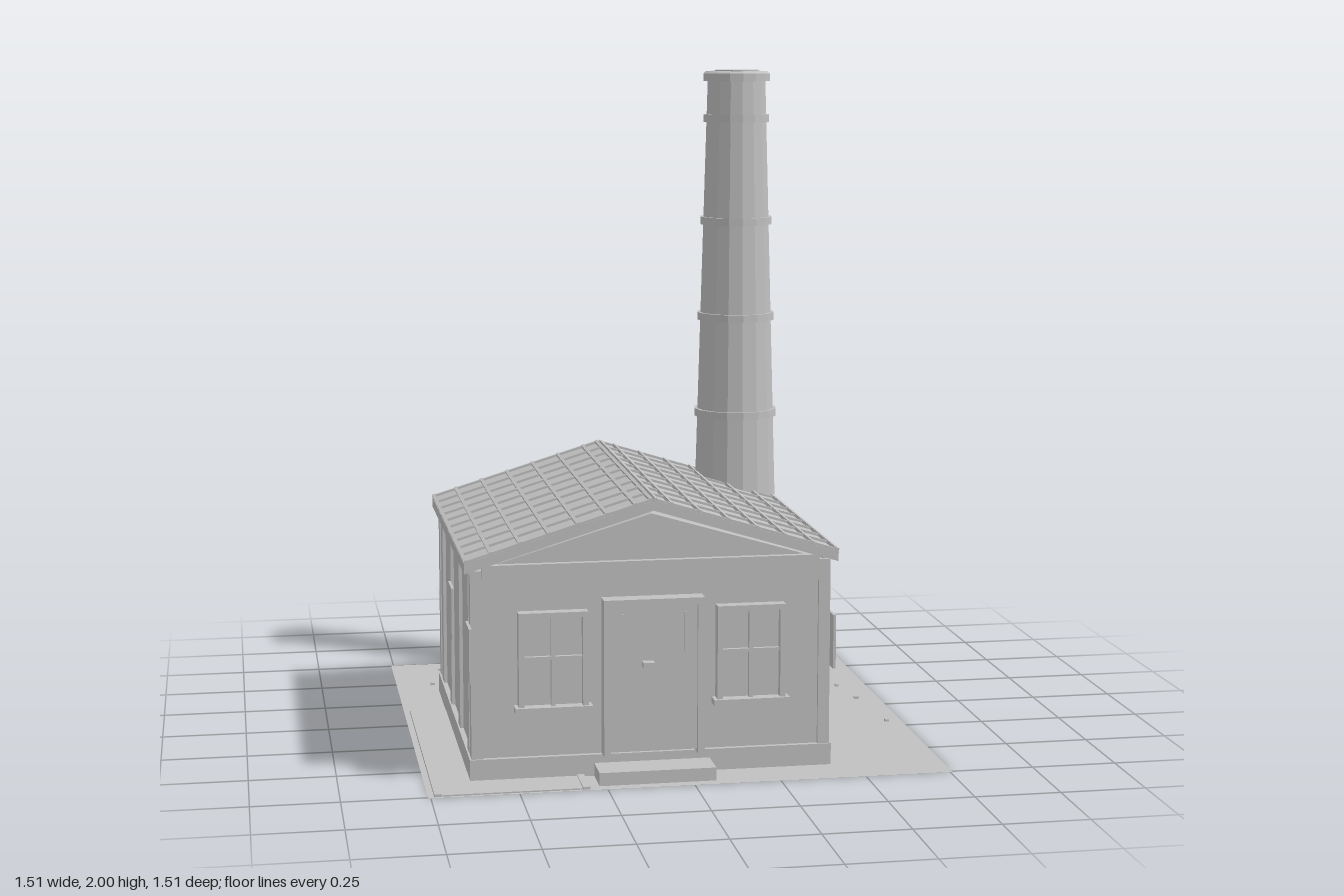
import * as THREE from 'three';

const CX = -0.1;                       // house centre line
const Z0 = -0.385, Z1 = 0.612;         // back and front walls
const ROOF = { half: 0.54, z0: -0.41, z1: 0.645, ridge: 0.803, drop: 0.165, thick: 0.029 };
const STACK = { x: 0.33, z: -0.307, sides: 16 };

export function createModel() {
  const root = new THREE.Group();
  root.name = 'boilerHouse';
  const grey = new THREE.MeshStandardMaterial({ color: 0xc0c0c0, flatShading: true, side: THREE.DoubleSide });
  grey.name = 'stoneGrey';

  const add = (name, geometry, parent = root) => {
    const mesh = new THREE.Mesh(geometry, grey);
    mesh.name = name;
    parent.add(mesh);
    return mesh;
  };
  // Box given by its extents on each axis
  const box = (name, x0, x1, y0, y1, z0, z1, parent = root) => {
    const mesh = add(name, new THREE.BoxGeometry(x1 - x0, y1 - y0, z1 - z0), parent);
    mesh.position.set((x0 + x1) / 2, (y0 + y1) / 2, (z0 + z1) / 2);
    return mesh;
  };
  const group = (name) => {
    const g = new THREE.Group();
    g.name = name;
    root.add(g);
    return g;
  };
  // Outline in x and y, extruded from z0 to z1
  const slab = (name, points, z0, z1, parent = root) => {
    const shape = new THREE.Shape(points.map(([x, y]) => new THREE.Vector2(x, y)));
    const mesh = add(name, new THREE.ExtrudeGeometry(shape, { depth: z1 - z0, bevelEnabled: false }), parent);
    mesh.position.z = z0;
    return mesh;
  };

  // Ground sheet, side path with kerbs, and pebbles
  add('ground', new THREE.PlaneGeometry(1.515, 1.515)).rotation.x = -Math.PI / 2;
  box('path', -0.72, -0.32, 0.001, 0.005, -0.14, 0.75);
  box('kerb', -0.74, -0.72, 0.001, 0.009, -0.14, 0.752);
  box('kerb', -0.32, -0.3, 0.001, 0.009, 0.62, 0.752);
  const pebbles = group('pebbles');
  [[-0.6, -0.66], [-0.53, -0.7], [-0.36, -0.65], [-0.585, -0.565], [-0.385, -0.6], [-0.64, -0.48],
    [-0.46, -0.49], [-0.12, -0.54], [0.14, -0.64], [0.175, -0.62], [0.245, -0.67], [0.58, -0.33],
    [0.66, -0.24], [0.58, -0.05], [0.685, -0.08], [0.5, 0.09], [0.71, 0.2]].forEach(([x, z], i) => {
    const r = 0.005 + (i % 3) * 0.001;
    box('pebble', x - r, x + r, 0.001, 0.008, z - r, z + r, pebbles);
  });

  // Walls, plinth and the beams under each gable
  box('walls', CX - 0.512, CX + 0.512, 0.002, 0.61, Z0, Z1);
  box('plinth', CX - 0.527, CX + 0.527, 0.002, 0.065, Z0 - 0.012, Z1 + 0.015);
  box('frontBeam', CX - 0.488, CX + 0.488, 0.555, 0.628, Z1 - 0.01, Z1 + 0.02);
  box('backBeam', CX - 0.488, CX + 0.488, 0.555, 0.628, Z0 - 0.012, Z0 + 0.01);

  for (const s of [-1, 1]) {
    const side = group(s < 0 ? 'rightSide' : 'leftSide');
    const strip = (name, d0, d1, y0, y1, z0, z1) =>
      box(name, Math.min(CX + s * d0, CX + s * d1), Math.max(CX + s * d0, CX + s * d1), y0, y1, z0, z1, side);
    // Corner posts and wall strips
    strip('frontPost', 0.488, 0.522, 0.065, 0.612, Z1 - 0.03, Z1 + 0.01);
    strip('backPost', 0.488, 0.522, 0.065, 0.612, Z0 - 0.008, Z0 + 0.03);
    for (let i = 0; i < 4; i++) {
      const z = 0.528 - i * 0.27;
      strip('wallStrip', 0.5, 0.522, 0.065, 0.61, z - 0.028, z + 0.028);
    }
    strip('eavePlate', 0.5, 0.524, 0.6, 0.618, Z0, Z1);
    // Thin side shutters
    for (const z of [0.07, 0.61]) strip('shutter', 0.522, 0.53, 0.297, 0.455, z - 0.053, z + 0.053);
  }

  // Gable walls, set a little below the roof
  const gable = [[CX - 0.46, 0.61], [CX + 0.46, 0.61], [CX + 0.44, 0.63], [CX, 0.76], [CX - 0.44, 0.63]];
  slab('frontGable', gable, Z1 - 0.03, Z1);
  slab('backGable', gable, Z0, Z0 + 0.03);

  // Roof shell with a grid of ribs on each slope
  const { half, ridge, drop, thick } = ROOF;
  const eave = ridge - drop;
  slab('roofShell', [[CX - half, eave - thick], [CX, ridge - thick], [CX + half, eave - thick],
    [CX + half, eave], [CX, ridge], [CX - half, eave]], ROOF.z0, ROOF.z1);
  const angle = Math.atan2(drop, half), length = Math.hypot(half, drop);
  const zMid = (ROOF.z0 + ROOF.z1) / 2, depth = ROOF.z1 - ROOF.z0;
  for (const s of [-1, 1]) {
    const slope = group('roofRibs');
    slope.position.set(CX, ridge, zMid);
    slope.rotation.z = -s * angle;
    for (const d of [0.006, 0.05, 0.132, 0.215, 0.298, 0.38, 0.463, 0.534]) {
      const x = s * d / Math.cos(angle);
      box('longRib', x - 0.005, x + 0.005, -0.002, 0.009, -depth / 2, depth / 2, slope);
    }
    for (let i = 0; i <= 10; i++) {
      const z = (i / 10 - 0.5) * (depth - 0.012);
      box('slopeRib', s < 0 ? -length : 0, s < 0 ? 0 : length, -0.002, 0.007, z - 0.005, z + 0.005, slope);
    }
  }

  // Doorway: frame, leaf, slits, handle and step
  const door = group('door');
  const frame = (name, x0, x1, y0, y1, t, z0, z1, parent) => {
    box(name, x0, x0 + t, y0, y1, z0, z1, parent);
    box(name, x1 - t, x1, y0, y1, z0, z1, parent);
    box(name, x0 + t, x1 - t, y1 - t, y1, z0, z1, parent);
  };
  frame('doorFrame', CX - 0.146, CX + 0.146, 0.065, 0.522, 0.02, Z1 - 0.01, Z1 + 0.05, door);
  box('doorLeaf', CX - 0.127, CX + 0.127, 0.075, 0.503, Z1 - 0.01, Z1 + 0.038, door);
  for (const s of [-1, 1]) {
    box('doorStrip', CX + s * 0.09 - 0.003, CX + s * 0.09 + 0.003, 0.365, 0.48, Z1 + 0.03, Z1 + 0.044, door);
  }
  box('doorHandle', -0.135, -0.102, 0.325, 0.341, Z1 + 0.03, Z1 + 0.068, door);
  box('doorStep', -0.27, 0.067, 0.002, 0.04, Z1, 0.73);

  // Two front windows with cross bars and sills
  for (const x of [-0.388, 0.186]) {
    const win = group('window');
    frame('windowFrame', x - 0.1, x + 0.1, 0.215, 0.49, 0.016, Z1 - 0.01, Z1 + 0.035, win);
    box('windowPane', x - 0.086, x + 0.086, 0.215, 0.476, Z1 - 0.01, Z1 + 0.01, win);
    box('windowPost', x - 0.006, x + 0.006, 0.215, 0.476, Z1, Z1 + 0.026, win);
    box('windowBar', x - 0.086, x + 0.086, 0.35, 0.36, Z1, Z1 + 0.022, win);
    box('windowSill', x - 0.111, x + 0.111, 0.2, 0.217, Z1 - 0.01, Z1 + 0.045, win);
  }

  // Tapered chimney stack with foot, bands and cap
  const chimney = group('chimney');
  chimney.position.set(STACK.x, 0, STACK.z);
  const drum = (name, rTop, rBottom, y0, y1) => {
    const mesh = add(name, new THREE.CylinderGeometry(rTop, rBottom, y1 - y0, STACK.sides), chimney);
    mesh.position.y = (y0 + y1) / 2;
  };
  const radius = (y) => 0.15 - 0.057 * y / 1.96;
  drum('chimneyFoot', 0.185, 0.224, 0.008, 0.088);
  drum('chimneyFootBase', 0.224, 0.224, 0.002, 0.008);
  drum('chimneyShaft', radius(1.97), radius(0.05), 0.05, 1.97);
  for (const y of [0.222, 0.6, 0.91, 1.22, 1.525, 1.848]) {
    const r = radius(y) + 0.009;
    drum('chimneyBand', r, r, y - 0.012, y + 0.012);
  }
  drum('chimneyCap', 0.107, 0.107, 1.965, 1.989);
  drum('chimneyCapEdge', 0.098, 0.107, 1.989, 1.996);
  drum('chimneyLid', 0.07, 0.07, 1.99, 2.0);

  return root;
}
